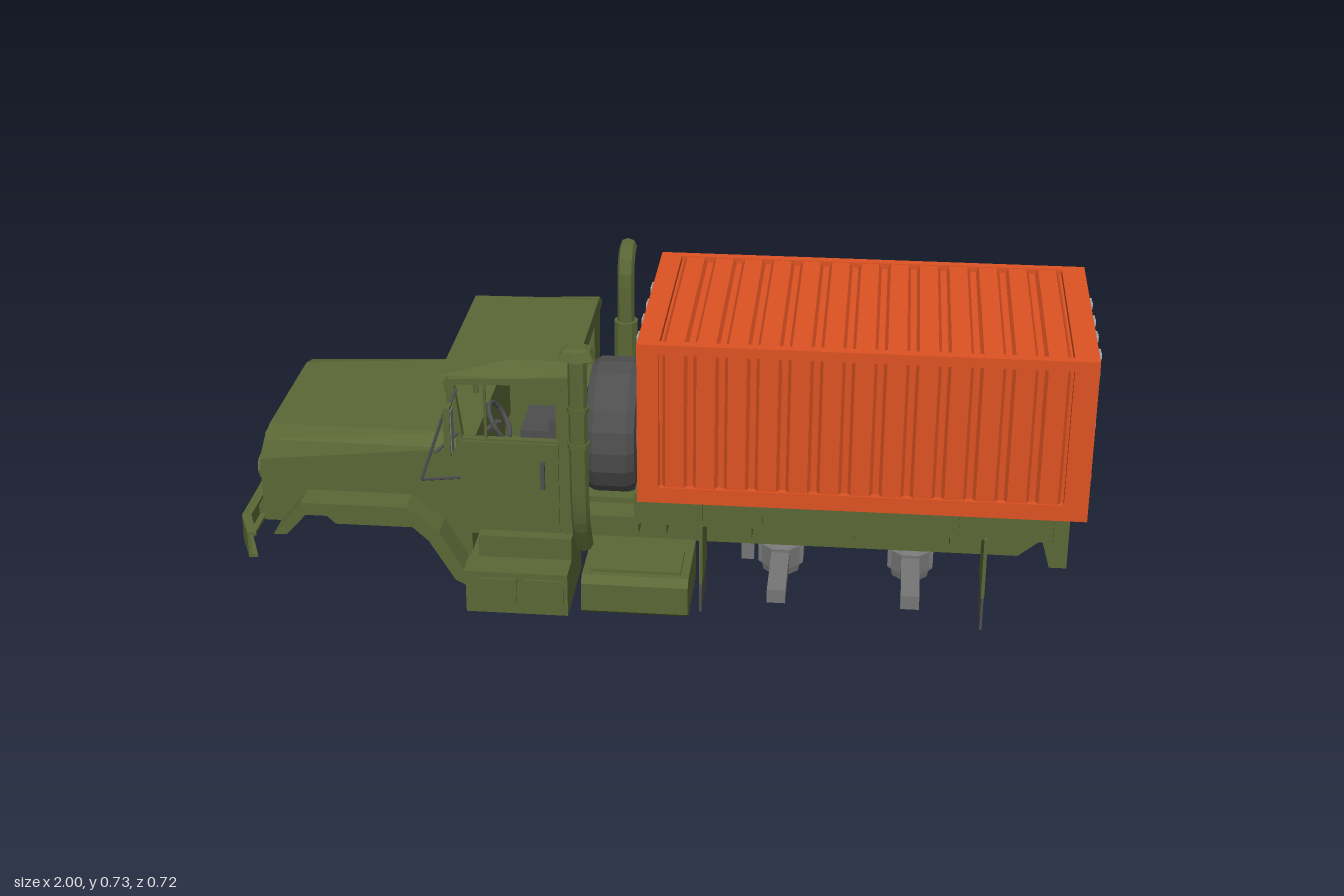
import * as THREE from 'three';
import { ConvexGeometry } from 'three/addons/geometries/ConvexGeometry.js';

const mat = (color) => new THREE.MeshStandardMaterial({ color, flatShading: true, side: THREE.DoubleSide });
const OLIVE = mat(0x5b6736), ORANGE = mat(0xdd5222), SILVER = mat(0xa9b1b4);
const DARK = mat(0x4e4e4e), GREY = mat(0x757575), RED = mat(0xd0686e);
const HALF = Math.PI / 2;

export function createModel() {
  const root = new THREE.Group();
  root.name = 'truck';
  const truck = new THREE.Group();
  truck.name = 'truckBody';
  truck.position.z = -0.01;
  root.add(truck);

  // helpers
  const add = (name, geo, m, x = 0, y = 0, z = 0) => {
    const mesh = new THREE.Mesh(geo, m);
    mesh.name = name;
    mesh.position.set(x, y, z);
    truck.add(mesh);
    return mesh;
  };
  // box given by its min/max on every axis
  const box = (name, m, x0, x1, y0, y1, z0, z1) =>
    add(name, new THREE.BoxGeometry(x1 - x0, y1 - y0, Math.abs(z1 - z0)), m, (x0 + x1) / 2, (y0 + y1) / 2, (z0 + z1) / 2);
  const path = (Type, pts) => new Type(pts.map((p) => new THREE.Vector2(p[0], p[1])));
  // profile extruded along z and centred on z = 0
  const ext = (pts, depth, hole) => {
    const shape = path(THREE.Shape, pts);
    if (hole) shape.holes.push(path(THREE.Path, hole));
    return new THREE.ExtrudeGeometry(shape, { depth, bevelEnabled: false }).translate(0, 0, -depth / 2);
  };
  // convex hull of points mirrored in z
  const hull = (pts) => new ConvexGeometry(pts.flatMap(([x, y, z]) => [new THREE.Vector3(x, y, z), new THREE.Vector3(x, y, -z)]));
  const tube = (name, m, pts, r, sides = 8) =>
    add(name, new THREE.TubeGeometry(new THREE.CatmullRomCurve3(pts.map((p) => new THREE.Vector3(...p)), false, 'catmullrom', 0.3), 20, r, sides), m);
  const rod = (name, m, a, b, r) => {
    const line = new THREE.LineCurve3(new THREE.Vector3(...a), new THREE.Vector3(...b));
    return add(name, new THREE.TubeGeometry(line, 1, r, 6), m);
  };
  // corrugated sheet: waves along x, raised in y, extruded along z
  const corrugated = (length, n, width, h = 0.012, flat = 0.6) => {
    const pts = [[-length / 2, -0.005]];
    const p = length / n;
    for (let i = 0; i < n; i++) {
      const c = -length / 2 + (i + 0.5) * p, w = p * flat / 2;
      pts.push([c - w - p * 0.1, 0], [c - w, h], [c + w, h], [c + w + p * 0.1, 0]);
    }
    pts.push([length / 2, -0.005]);
    return ext(pts, width);
  };

  // container core and edge frame
  const X0 = -0.043, X1 = 0.984, Y0 = 0.313, Y1 = 0.708, Z = 0.29;
  box('containerCore', ORANGE, X0 + 0.016, X1 - 0.016, Y0 + 0.01, Y1 - 0.016, -Z + 0.016, Z - 0.016);
  for (const s of [1, -1]) {
    box('containerTopRail', ORANGE, X0, X1, 0.684, Y1, s * Z, s * (Z - 0.024));
    box('containerBottomRail', ORANGE, X0, X1, Y0, 0.352, s * Z, s * (Z - 0.024));
    for (const [a, b] of [[X0, X0 + 0.05], [X1 - 0.055, X1]])
      box('containerCornerPost', ORANGE, a, b, Y0, Y1, s * Z, s * (Z - 0.042));
    add('containerSidePanel', corrugated(0.922, 13, 0.334).rotateX(s * HALF), ORANGE, 0.468, 0.518, s * (Z - 0.016));
    // door end with panel, locking bars and handles
    const face = s > 0 ? X1 : X0;
    const inner = face - s * 0.022;
    const [a, b] = [Math.min(face, inner), Math.max(face, inner)];
    box('doorHeader', ORANGE, a, b, 0.666, Y1, -Z, Z);
    box('doorSill', ORANGE, a, b, Y0, 0.352, -Z, Z);
    box('containerRoofEnd', ORANGE, s > 0 ? X1 - 0.055 : X0, s > 0 ? X1 : X0 + 0.05, 0.69, Y1, -Z, Z);
    add('doorPanel', corrugated(0.314, 4, 0.5, 0.012, 0.45).rotateZ(-s * HALF), ORANGE, face - s * 0.016, 0.509, 0);
    for (const z of [0.15, 0.046, -0.047, -0.155]) {
      const x = face + s * 0.006;
      add('lockingBar', new THREE.CylinderGeometry(0.006, 0.006, 0.33, 6), SILVER, x, 0.515, z);
      for (const y of [0.367, 0.495, 0.622, 0.664])
        box('barBracket', SILVER, x - 0.008, x + 0.008, y - 0.007, y + 0.007, z - 0.01, z + 0.01);
      const hz = z + (z > 0.1 || z === -0.047 ? -0.042 : 0) + (z === 0.046 ? 0.042 : 0) + (z === -0.155 ? -0.042 : 0);
      box('doorHandle', SILVER, x - 0.004, x + 0.006, 0.421, 0.428, hz - 0.045, hz + 0.045);
      box('handleCatch', SILVER, x - 0.006, x + 0.009, 0.415, 0.435, hz - 0.01, hz + 0.01);
    }
  }
  add('containerRoof', corrugated(0.922, 13, 0.54), ORANGE, 0.468, Y1 - 0.014, 0);

  // load bed with ribs and tail plate
  box('loadBed', OLIVE, -0.055, 0.95, 0.235, 0.313, -0.25, 0.25);
  add('tailPlate', ext([[0.89, 0.24], [0.95, 0.24], [0.95, 0.17], [0.91, 0.17]], 0.5), OLIVE);
  add('chassis', ext([[-0.83, 0.24], [-0.87, 0.2], [-0.8, 0.133], [0.845, 0.133], [0.89, 0.17], [0.89, 0.24]], 0.262), OLIVE);
  for (const x of [0.1, 0.24, 0.475, 0.705, 0.92]) box('bedRib', OLIVE, x - 0.006, x + 0.006, 0.235, 0.313, -0.256, 0.256);
  for (const x of [0.0, 0.2, 0.44, 0.68]) box('crossMember', OLIVE, x, x + 0.02, 0.2, 0.24, -0.24, 0.24);

  // rear axles with octagonal differentials
  for (const x of [0.28, 0.595]) {
    const profile = [[0, 0], [0.046, 0], [0.05, 0.02], [0.058, 0.024], [0.058, 0.075], [0.046, 0.082], [0.046, 0.135]];
    add('differential', new THREE.LatheGeometry(profile.map((p) => new THREE.Vector2(...p)), 8, Math.PI / 8), GREY, x, 0.003, 0);
    box('axleBeam', GREY, x - 0.022, x + 0.022, 0.035, 0.07, -0.24, 0.24);
    box('diffFlange', GREY, x - 0.055, x + 0.055, 0.035, 0.075, -0.03, 0.03);
  }
  box('chassisValve', GREY, 0.19, 0.22, 0.09, 0.133, 0.1, 0.13);

  for (const s of [1, -1]) {
    // mud flaps and tail lights
    for (const [x, y] of [[0.103, 0.015], [0.762, 0.003]]) {
      box('flapBracket', OLIVE, x - 0.004, x + 0.004, 0.088, 0.24, s * 0.131, s * 0.264);
      box('mudFlap', DARK, x - 0.003, x + 0.003, y, 0.088, s * 0.131, s * 0.264);
    }
    box('tailLight', RED, 0.945, 0.954, 0.18, 0.219, s * 0.175, s * 0.208);

    // tool box and tank below the cab
    box('toolBox', OLIVE, -0.44, -0.2, 0.038, 0.145, s * 0.12, s * 0.355);
    box('toolBoxTop', OLIVE, -0.42, -0.2, 0.14, 0.2, s * 0.12, s * 0.28);
    for (const x of [-0.41, -0.3]) box('toolBoxDoor', OLIVE, x, x + 0.09, 0.065, 0.13, s * 0.35, s * 0.36);
    const tank = [[0.13, 0.035], [0.325, 0.035], [0.345, 0.05], [0.345, 0.12], [0.325, 0.135], [0.13, 0.135]];
    add('fuelTank', ext(tank.map(([z, y]) => [-s * z, y]), 0.25).rotateY(HALF).scale(1, 1, 1), OLIVE, -0.045, 0, 0);
    box('tankStep', OLIVE, -0.15, 0.06, 0.133, 0.142, s * 0.2, s * 0.31);

    // front fender arch
    const arch = [[-0.9, 0.2], [-0.87, 0.2], [-0.81, 0.265], [-0.6, 0.265], [-0.53, 0.2], [-0.47, 0.1], [-0.44, 0.085],
      [-0.425, 0.085], [-0.425, 0.12], [-0.45, 0.13], [-0.505, 0.225], [-0.58, 0.285], [-0.83, 0.285]];
    add('fender', ext(arch, 0.11), OLIVE, 0, 0, s * 0.265);
    add('wheelWellRear', ext([[-0.58, 0.28], [-0.44, 0.28], [-0.44, 0.12], [-0.47, 0.12]], 0.12), OLIVE, 0, 0, s * 0.19);

    // cab side with window, door edge and handle
    const side = [[-0.475, 0.19], [-0.2, 0.19], [-0.195, 0.6], [-0.49, 0.585], [-0.47, 0.44]];
    const win = [[-0.455, 0.438], [-0.47, 0.572], [-0.235, 0.58], [-0.235, 0.438]];
    add('cabSide', ext(side, 0.016, win), OLIVE, 0, 0, s * 0.242);
    add('door', ext([[-0.455, 0.205], [-0.23, 0.205], [-0.23, 0.432], [-0.455, 0.432]], 0.008), OLIVE, 0, 0, s * 0.252);
    box('doorGrip', DARK, -0.272, -0.262, 0.32, 0.39, s * 0.254, s * 0.266);
    rod('quarterWindowBar', OLIVE, [-0.4, 0.438, s * 0.245], [-0.4, 0.578, s * 0.245], 0.004);

    // mirror on a triangular arm
    box('mirror', OLIVE, -0.48, -0.465, 0.43, 0.552, s * 0.305, s * 0.338);
    box('mirrorGlass', GREY, -0.466, -0.462, 0.438, 0.544, s * 0.309, s * 0.334);
    for (const y of [0.335, 0.45, 0.56])
      rod('mirrorArm', DARK, [-0.465, y, s * 0.25], [-0.54 + (y - 0.335) * 0.3, y < 0.4 ? 0.36 : y - 0.02, s * 0.318], 0.004);
    rod('mirrorPost', DARK, [-0.54, 0.36, s * 0.318], [-0.475, 0.55, s * 0.318], 0.004);

    // headlight and bumper bracket
    add('headlightRing', new THREE.CylinderGeometry(0.034, 0.034, 0.02, 12).rotateZ(HALF), OLIVE, -0.943, 0.315, s * 0.19);
    add('headlight', new THREE.CylinderGeometry(0.025, 0.025, 0.024, 12).rotateZ(HALF), GREY, -0.945, 0.315, s * 0.19);
    box('bumperBracket', OLIVE, -0.99, -0.82, 0.15, 0.19, s * 0.1, s * 0.125);
    box('seat', DARK, -0.37, -0.25, 0.26, 0.32, s * 0.05, s * 0.2);
    box('seatBack', DARK, -0.26, -0.225, 0.3, 0.47, s * 0.05, s * 0.2);
  }

  // hood, nose and grille
  add('hood', hull([[-0.94, 0.27, 0.25], [-0.94, 0.36, 0.25], [-0.93, 0.405, 0.235], [-0.93, 0.42, 0.18],
    [-0.46, 0.27, 0.25], [-0.46, 0.41, 0.25], [-0.46, 0.435, 0.215]]), OLIVE);
  add('nose', ext([[-0.94, 0.2], [-0.87, 0.2], [-0.81, 0.28], [-0.94, 0.28]], 0.5), OLIVE);
  box('grilleFrame', OLIVE, -0.948, -0.93, 0.245, 0.385, -0.145, 0.145);
  for (let i = 0; i < 6; i++) box('grilleSlat', OLIVE, -0.956, -0.94, 0.255 + i * 0.022, 0.264 + i * 0.022, -0.14, 0.14);

  // bumper: channel with swept-back ends
  const band = (t) => [[-1, -0.235], [-0.965, -0.318], [-0.965 + t, -0.318], [-1 + t, -0.23],
    [-1 + t, 0.23], [-0.965 + t, 0.318], [-0.965, 0.318], [-1, 0.235]];
  for (const [h, t, y] of [[0.067, 0.008, 0.167], [0.008, 0.022, 0.196], [0.008, 0.022, 0.138]])
    add('bumper', ext(band(t), h).rotateX(-HALF), OLIVE, 0, y, 0);

  // cab floor, back wall, windshield frame and roof
  box('cabFloor', OLIVE, -0.475, -0.2, 0.19, 0.215, -0.245, 0.245);
  box('dashboard', OLIVE, -0.47, -0.425, 0.28, 0.44, -0.24, 0.24);
  const rect = (w, y0, y1) => [[-w, y0], [w, y0], [w, y1], [-w, y1]];
  add('cabBack', ext(rect(0.245, 0.19, 0.6), 0.016, rect(0.15, 0.46, 0.56)).rotateY(HALF), OLIVE, -0.204, 0, 0);
  for (const z of [-0.236, 0, 0.236]) rod('windshieldPillar', OLIVE, [-0.465, 0.435, z], [-0.485, 0.59, z], z ? 0.013 : 0.007);
  box('windshieldHeader', OLIVE, -0.495, -0.475, 0.568, 0.592, -0.245, 0.245);
  add('cabRoof', hull([[-0.505, 0.58, 0.25], [-0.505, 0.592, 0.245], [-0.35, 0.615, 0.19], [-0.19, 0.615, 0.19],
    [-0.19, 0.595, 0.25], [-0.19, 0.58, 0.25]]), OLIVE);

  // steering wheel
  const wheel = add('steeringWheel', new THREE.TorusGeometry(0.048, 0.006, 6, 16), DARK, -0.39, 0.425, 0.12);
  wheel.rotation.set(0, HALF, 0.5, 'ZYX');
  rod('steeringColumn', DARK, [-0.39, 0.425, 0.12], [-0.44, 0.38, 0.12], 0.008);

  // spare tyre standing behind the cab
  const tyre = [[0.07, -0.045], [0.13, -0.06], [0.155, -0.058], [0.167, -0.04], [0.167, 0.04], [0.155, 0.058], [0.13, 0.06], [0.07, 0.045], [0.07, -0.045]];
  add('spareTyre', new THREE.LatheGeometry(tyre.map((p) => new THREE.Vector2(...p)), 20).rotateZ(HALF), DARK, -0.125, 0.365, -0.01);
  add('spareRim', new THREE.CylinderGeometry(0.075, 0.075, 0.04, 16).rotateZ(HALF), OLIVE, -0.125, 0.365, -0.01);
  box('rearPlatform', OLIVE, -0.2, -0.05, 0.18, 0.225, -0.2, 0.2);

  // air intake stack with hexagonal cap
  tube('airIntake', OLIVE, [[-0.175, 0.685, 0.305], [-0.175, 0.5, 0.305], [-0.175, 0.33, 0.3], [-0.175, 0.25, 0.285], [-0.175, 0.17, 0.24]], 0.022);
  add('intakeCap', new THREE.CylinderGeometry(0.036, 0.046, 0.02, 6), OLIVE, -0.175, 0.69, 0.308);
  add('intakeCapTop', new THREE.CylinderGeometry(0.022, 0.036, 0.008, 6), OLIVE, -0.175, 0.702, 0.308);
  for (const y of [0.46, 0.55]) add('intakeClamp', new THREE.CylinderGeometry(0.026, 0.026, 0.012, 8), OLIVE, -0.175, y, 0.304);

  // exhaust stack with outward elbow and muffler
  tube('exhaustPipe', OLIVE, [[-0.13, 0.16, -0.235], [-0.13, 0.3, -0.25], [-0.13, 0.63, -0.25], [-0.13, 0.685, -0.262], [-0.13, 0.708, -0.29], [-0.13, 0.712, -0.316]], 0.021);
  add('muffler', new THREE.CylinderGeometry(0.03, 0.03, 0.24, 10), OLIVE, -0.13, 0.42, -0.25);

  return root;
}
